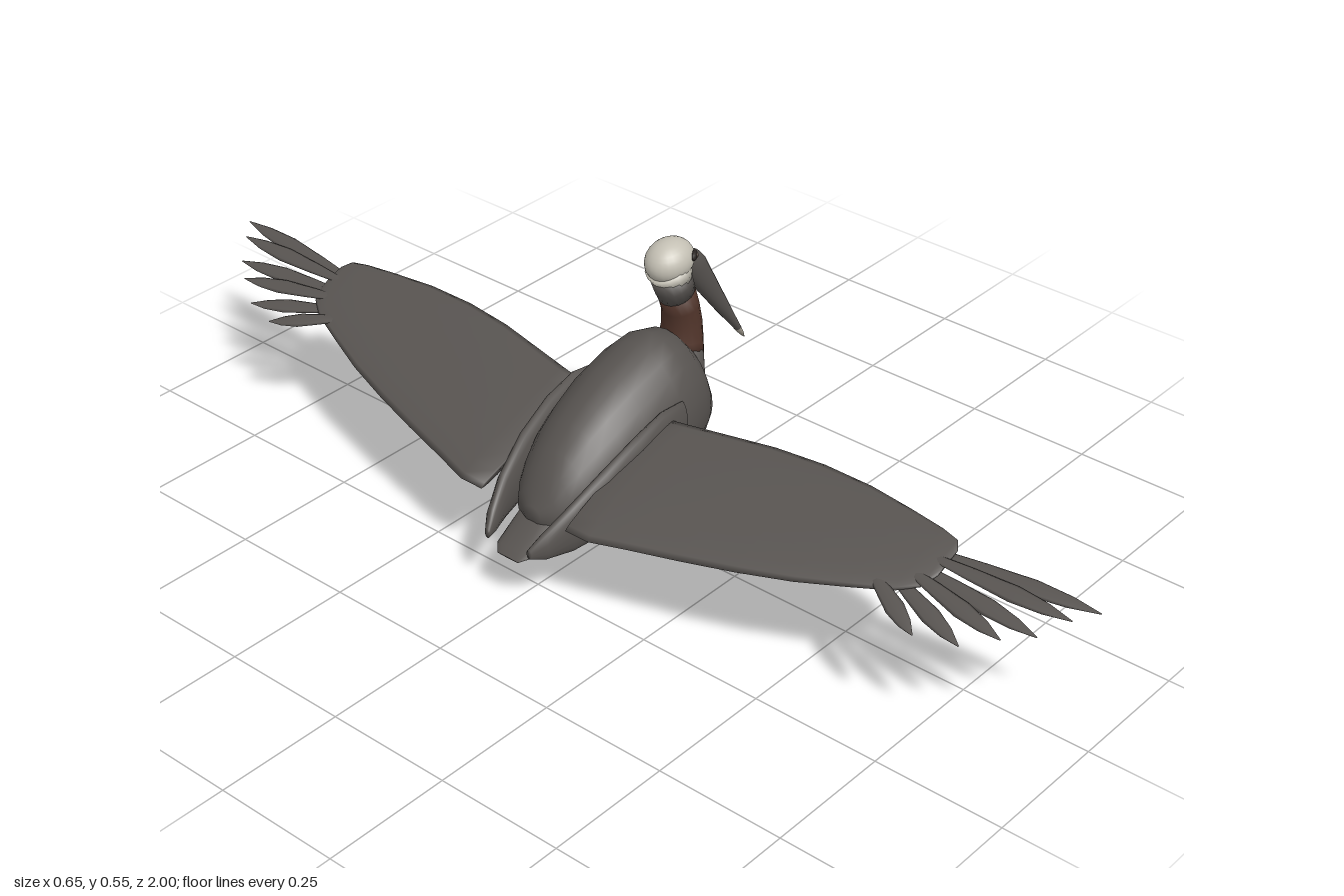
import * as THREE from 'three';

const V = (x, y, z) => new THREE.Vector3(x, y, z);
const mat = (name, color) => {
  const m = new THREE.MeshStandardMaterial({ color });
  m.name = name;
  return m;
};

// Smooth closed skin over elliptical rings { c: centre, u, v: half axes }
function loft(rings, n = 16) {
  const pos = [], idx = [];
  rings.forEach(({ c, u, v }, i) => {
    const a = rings[Math.max(i - 1, 0)].c, b = rings[Math.min(i + 1, rings.length - 1)].c;
    const flip = u.clone().cross(v).dot(b.clone().sub(a)) < 0 ? -1 : 1;
    for (let j = 0; j < n; j++) {
      const t = (j / n) * Math.PI * 2;
      const p = c.clone().addScaledVector(u, Math.cos(t)).addScaledVector(v, flip * Math.sin(t));
      pos.push(p.x, p.y, p.z);
    }
  });
  for (let i = 0; i < rings.length - 1; i++) {
    for (let j = 0; j < n; j++) {
      const a = i * n + j, b = i * n + (j + 1) % n;
      idx.push(a, b, a + n, b, b + n, a + n);
    }
  }
  // End caps
  const last = (rings.length - 1) * n, s = rings.length * n;
  [rings[0].c, rings[rings.length - 1].c].forEach(c => pos.push(c.x, c.y, c.z));
  for (let j = 0; j < n; j++) {
    const k = (j + 1) % n;
    idx.push(s, k, j, s + 1, last + j, last + k);
  }
  const g = new THREE.BufferGeometry();
  g.setAttribute('position', new THREE.Float32BufferAttribute(pos, 3));
  g.setIndex(idx);
  g.computeVertexNormals();
  return g;
}

// Upright rings from [x, bottom, top, halfDepth, z]
const upright = rows => rows.map(([x, b, t, d, z = 0]) =>
  ({ c: V(x, (b + t) / 2, z), u: V(0, (t - b) / 2, 0), v: V(0, 0, d) }));

// Rings square to a path in the x-y plane, from [x, y, halfWidth, halfDepth]
const along = (rows, z = 0) => rows.map(([x, y, w, d], i) => {
  const a = rows[Math.max(i - 1, 0)], b = rows[Math.min(i + 1, rows.length - 1)];
  const t = V(b[0] - a[0], b[1] - a[1], 0).normalize();
  return { c: V(x, y, z), u: V(-t.y * w, t.x * w, 0), v: V(0, 0, d) };
});

// Height of the sloping plane in which the spread wings lie
const SLOPE = 0.39;
const wingY = x => 0.292 + SLOPE * x;
const wingUp = V(-SLOPE, 1, 0).normalize();

export function createModel() {
  const model = new THREE.Group();
  const plumage = mat('greyPlumage', 0x575350);
  const brown = mat('brownNeck', 0x50342a);
  const white = mat('whiteHead', 0xc4c0b4);
  const horn = mat('paleBillTip', 0x9a9488);
  const dark = mat('darkEye', 0x2a2522);
  const iris = mat('brownIris', 0x5a4a40);
  const add = (name, geo, m, parent = model) => {
    const mesh = new THREE.Mesh(geo, m);
    mesh.name = name;
    parent.add(mesh);
    return mesh;
  };

  // Body
  add('body', loft(upright([
    [-0.262, 0.14, 0.175, 0.02], [-0.245, 0.108, 0.2, 0.05], [-0.225, 0.088, 0.235, 0.066],
    [-0.2, 0.075, 0.262, 0.08], [-0.16, 0.065, 0.298, 0.094], [-0.12, 0.062, 0.324, 0.103],
    [-0.06, 0.065, 0.355, 0.111], [0.02, 0.085, 0.38, 0.113], [0.06, 0.097, 0.386, 0.108],
    [0.1, 0.11, 0.376, 0.098], [0.125, 0.126, 0.348, 0.087], [0.15, 0.145, 0.297, 0.07],
    [0.168, 0.163, 0.255, 0.05], [0.178, 0.185, 0.225, 0.024],
  ]), 24), plumage);

  // Tail
  add('tail', loft(along([
    [-0.19, 0.165, 0.02, 0.05], [-0.26, 0.132, 0.012, 0.045],
    [-0.31, 0.107, 0.006, 0.04], [-0.326, 0.1, 0.002, 0.025],
  ])), plumage);

  // Neck: chest, brown band and grey collar
  add('neckBase', loft(along([
    [0.11, 0.24, 0.065, 0.07], [0.13, 0.29, 0.048, 0.057], [0.141, 0.33, 0.038, 0.046],
  ])), plumage);
  add('neck', loft(along([
    [0.138, 0.315, 0.04, 0.049], [0.142, 0.345, 0.038, 0.043], [0.143, 0.375, 0.037, 0.038],
    [0.138, 0.41, 0.035, 0.035], [0.126, 0.446, 0.035, 0.034],
  ])), brown);
  add('collar', loft(along([
    [0.127, 0.443, 0.036, 0.035], [0.117, 0.465, 0.038, 0.036], [0.108, 0.49, 0.04, 0.037],
  ])), plumage);

  // Head
  const head = add('head', new THREE.SphereGeometry(1, 24, 16), white);
  head.scale.set(0.05, 0.039, 0.042);
  head.position.set(0.107, 0.516, 0);
  head.rotation.z = 0.18;
  add('throat', loft(along([
    [0.1, 0.51, 0.044, 0.04], [0.11, 0.492, 0.041, 0.039], [0.117, 0.476, 0.037, 0.036],
  ])), white);

  // Bill
  add('bill', loft(along([
    [0.145, 0.518, 0.01, 0.014], [0.165, 0.492, 0.023, 0.02], [0.178, 0.473, 0.026, 0.02],
    [0.21, 0.425, 0.022, 0.017], [0.255, 0.36, 0.015, 0.013], [0.306, 0.288, 0.006, 0.008],
  ])), plumage);
  add('billTip', loft(along([
    [0.305, 0.289, 0.0065, 0.0085], [0.318, 0.271, 0.004, 0.005], [0.326, 0.26, 0.001, 0.001],
  ])), horn);

  for (const s of [1, -1]) {
    const side = new THREE.Group();
    side.name = s > 0 ? 'frontSide' : 'backSide';
    model.add(side);

    // Eye
    const eye = add('eye', new THREE.SphereGeometry(1, 14, 10), dark, side);
    eye.scale.set(0.014, 0.009, 0.006);
    eye.position.set(0.135, 0.525, s * 0.034);
    eye.rotation.y = s * 0.55;
    const ir = add('iris', new THREE.SphereGeometry(0.005, 10, 8), iris, side);
    ir.position.set(0.136, 0.526, s * 0.037);

    // Folded wing lying against the flank
    add('foldedWing', loft(upright([
      [0.037, 0.24, 0.265, 0.006, s * 0.098], [0.025, 0.21, 0.3, 0.014, s * 0.102],
      [-0.03, 0.167, 0.306, 0.018, s * 0.105], [-0.1, 0.138, 0.287, 0.019, s * 0.104],
      [-0.18, 0.119, 0.25, 0.018, s * 0.096], [-0.25, 0.111, 0.205, 0.016, s * 0.081],
      [-0.3, 0.111, 0.163, 0.013, s * 0.062], [-0.324, 0.118, 0.138, 0.006, s * 0.05],
    ])), plumage, side);

    // Spread wing: [z, leading x, trailing x, half thickness]
    add('spreadWing', loft([
      [0.1, -0.02, -0.285, 0.01], [0.15, -0.012, -0.285, 0.012], [0.22, 0.0, -0.267, 0.013],
      [0.32, 0.017, -0.243, 0.013], [0.42, 0.026, -0.217, 0.012], [0.52, 0.026, -0.187, 0.011],
      [0.61, 0.018, -0.153, 0.009], [0.68, 0.01, -0.125, 0.007], [0.715, 0.002, -0.1, 0.004],
      [0.727, -0.015, -0.07, 0.002],
    ].map(([z, a, b, t]) => ({
      c: V((a + b) / 2, wingY((a + b) / 2), s * z),
      u: V((a - b) / 2, SLOPE * (a - b) / 2, 0),
      v: wingUp.clone().multiplyScalar(t),
    }))), plumage, side);

    // Flight feathers: [base x, base z, tip x, tip z]
    [[-0.03, 0.69, -0.008, 1], [-0.045, 0.69, -0.045, 0.97], [-0.063, 0.68, -0.09, 0.935],
      [-0.08, 0.67, -0.125, 0.89], [-0.095, 0.65, -0.16, 0.835], [-0.11, 0.62, -0.182, 0.76],
    ].forEach(([bx, bz, tx, tz], i) => {
      const dir = V(tx - bx, 0, s * (tz - bz)).normalize();
      const across = V(-dir.z, -dir.z * SLOPE, dir.x);
      const rings = [[0, 0.006], [0.3, 0.012], [0.6, 0.016], [0.82, 0.011], [1, 0.001]].map(([k, w]) => {
        const x = bx + (tx - bx) * k;
        return {
          c: V(x, wingY(x) + (i % 2 ? 0.003 : -0.003), s * (bz + (tz - bz) * k)),
          u: across.clone().multiplyScalar(w),
          v: wingUp.clone().multiplyScalar(w * 0.25),
        };
      });
      add('flightFeather', loft(rings, 8), plumage, side);
    });

    // Leg and foot
    add('leg', loft(along([
      [-0.052, 0.107, 0.008, 0.008], [-0.052, 0.1, 0.012, 0.012], [-0.047, 0.026, 0.009, 0.01],
      [-0.046, 0.017, 0.005, 0.006],
    ], s * 0.085), 10), plumage, side);
    add('foot', loft(upright([
      [-0.042, 0.006, 0.012, 0.004, s * 0.087], [-0.033, 0.002, 0.018, 0.012, s * 0.087],
      [-0.01, 0.001, 0.02, 0.017, s * 0.087], [0.02, 0.002, 0.014, 0.014, s * 0.087],
      [0.047, 0.006, 0.008, 0.003, s * 0.087],
    ]), 10), plumage, side);
  }
  return model;
}
